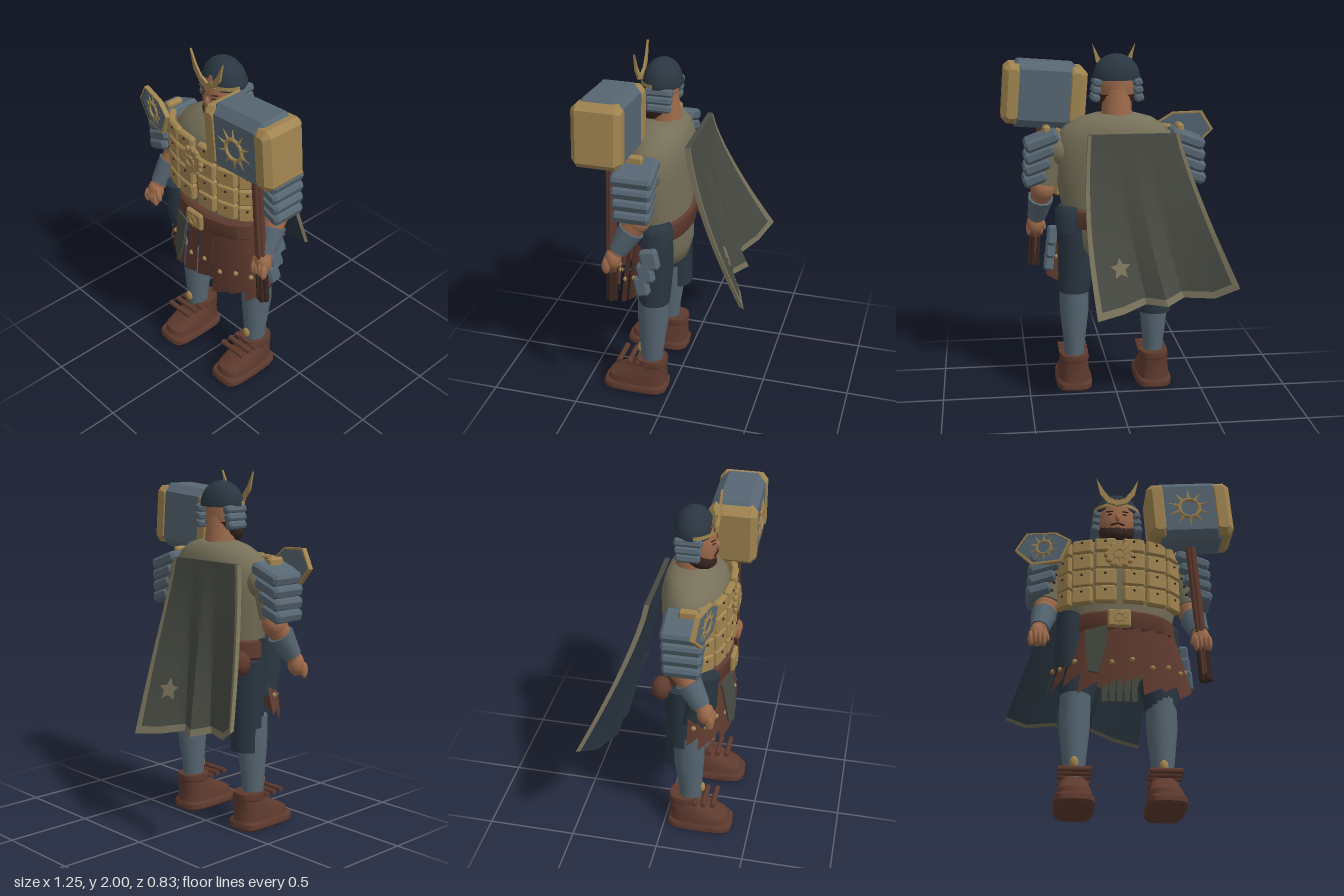
import * as THREE from 'three';
import { toCreasedNormals } from 'three/addons/utils/BufferGeometryUtils.js';

const V = (x, y, z) => new THREE.Vector3(x, y, z);
const paint = (name, color, extra) => Object.assign(new THREE.MeshStandardMaterial({ color, ...extra }), { name });
const two = { side: THREE.DoubleSide };
const steel = paint('steel', 0x566672), gold = paint('gold', 0xa08450), cloth = paint('tunicCloth', 0x77715a, two),
  leather = paint('leather', 0x5e3a2e, two), skin = paint('skin', 0x9c6a4b), navy = paint('navy', 0x2a3641, two),
  capeCloth = paint('capeCloth', 0x474a42, two), dark = paint('darkBrown', 0x38251f);

function add(parent, name, geo, mat, p = [0, 0, 0], r = [0, 0, 0], s = [1, 1, 1]) {
  const m = new THREE.Mesh(geo, mat);
  m.name = name;
  m.position.set(...p); m.rotation.set(...r); m.scale.set(...s);
  parent.add(m);
  return m;
}
function group(parent, name, p = [0, 0, 0], r = [0, 0, 0]) {
  const g = new THREE.Group();
  g.name = name; g.position.set(...p); g.rotation.set(...r);
  parent.add(g);
  return g;
}
// Closed skin over rings [y, cx, cz, rx, rz]; power above 2 makes rings squarer
function loft(rings, n = 20, power = 2) {
  const pos = [], idx = [], f = c => Math.sign(c) * Math.abs(c) ** (2 / power);
  for (const [y, cx, cz, rx, rz] of rings) for (let j = 0; j < n; j++) {
    const a = j / n * Math.PI * 2;
    pos.push(cx + rx * f(Math.sin(a)), y, cz + rz * f(Math.cos(a)));
  }
  const last = rings.length - 1, c0 = rings.length * n;
  for (const k of [0, last]) pos.push(rings[k][1], rings[k][0], rings[k][2]);
  for (let j = 0; j < n; j++) {
    const k = (j + 1) % n;
    for (let i = 0; i < last; i++) {
      const a = i * n + j, b = i * n + k;
      idx.push(a, b, b + n, a, b + n, a + n);
    }
    idx.push(c0, k, j, c0 + 1, last * n + j, last * n + k);
  }
  return creased(pos, idx);
}
function creased(pos, idx, angle = 0.7) {
  const g = new THREE.BufferGeometry();
  g.setAttribute('position', new THREE.Float32BufferAttribute(pos, 3));
  g.setIndex(idx);
  return toCreasedNormals(g, angle);
}
// Open sheet from a rule f(u, v)
function sheet(f, nu, nv, u0 = 0, u1 = 1, v0 = 0, v1 = 1) {
  const pos = [], idx = [];
  for (let i = 0; i <= nv; i++) for (let j = 0; j <= nu; j++)
    pos.push(...f(u0 + (u1 - u0) * j / nu, v0 + (v1 - v0) * i / nv).toArray());
  for (let i = 0; i < nv; i++) for (let j = 0; j < nu; j++) {
    const a = i * (nu + 1) + j, b = a + nu + 1;
    idx.push(a, a + 1, b + 1, a, b + 1, b);
  }
  return creased(pos, idx, 0.4);
}
const poly = pts => new THREE.Shape(pts.map(p => new THREE.Vector2(...p)));
const flat = (shape, depth) => new THREE.ExtrudeGeometry(shape, { depth, bevelEnabled: false });
function block(w, h, d, b = 0.01) {
  const x = w / 2, y = h / 2;
  return new THREE.ExtrudeGeometry(poly([[-x + b, -y], [x - b, -y], [x, -y + b], [x, y - b], [x - b, y], [-x + b, y], [-x, y - b], [-x, -y + b]]),
    { depth: d - 2 * b, bevelThickness: b, bevelSize: b, bevelOffset: -b, bevelSegments: 1 }).translate(0, 0, b - d / 2);
}
function limb(parent, name, a, b, ra, rb, mat, n = 14) {
  const m = add(parent, name, new THREE.CylinderGeometry(rb, ra, a.distanceTo(b), n), mat);
  m.position.copy(a).lerp(b, 0.5);
  m.quaternion.setFromUnitVectors(V(0, 1, 0), b.clone().sub(a).normalize());
}
const ball = (parent, name, mat, p, s, r) => add(parent, name, new THREE.SphereGeometry(1, 16, 12), mat, p, r, s);
// Ring with pointed rays, lying in the xy plane
function sun(parent, p, r, rays = 10) {
  const g = group(parent, 'sunEmblem', p);
  add(g, 'sunRing', new THREE.TorusGeometry(r * 0.48, r * 0.09, 6, 20), gold);
  for (let i = 0; i < rays; i++) {
    const a = i / rays * Math.PI * 2;
    add(g, 'sunRay', new THREE.ConeGeometry(r * 0.1, r * 0.6, 4), gold, [-Math.sin(a) * r * 0.75, Math.cos(a) * r * 0.75, 0], [0, 0, a]);
  }
}

export function createModel() {
  const root = new THREE.Group();
  root.name = 'armouredWarrior';

  // Torso, hips and belt
  add(root, 'torso', loft([[1.03, 0, 0.12, 0.28, 0.165], [1.2, 0, 0.125, 0.32, 0.175], [1.35, 0, 0.13, 0.345, 0.18],
    [1.48, 0, 0.125, 0.335, 0.18], [1.55, 0, 0.115, 0.285, 0.155], [1.6, 0, 0.1, 0.21, 0.12], [1.625, 0, 0.1, 0.12, 0.08]], 28), cloth);
  add(root, 'hips', loft([[0.74, 0, 0.1, 0.08, 0.07], [0.79, 0, 0.1, 0.18, 0.13], [0.88, 0, 0.1, 0.25, 0.155], [1.04, 0, 0.11, 0.285, 0.16]], 24), cloth);
  add(root, 'belt', loft([[0.985, 0, 0.135, 0.3, 0.19], [1.0, 0, 0.135, 0.315, 0.2], [1.085, 0, 0.135, 0.31, 0.2], [1.1, 0, 0.135, 0.295, 0.185]], 28), leather);
  add(root, 'buckle', block(0.125, 0.105, 0.03), gold, [-0.01, 1.04, 0.34]);
  sun(root, [-0.01, 1.04, 0.358], 0.048, 8);
  ball(root, 'beltPouch', leather, [-0.285, 0.98, -0.01], [0.06, 0.07, 0.055]);
  add(root, 'rightHipWrap', loft([[0.78, -0.27, 0.18, 0.08, 0.09], [0.9, -0.275, 0.2, 0.075, 0.095], [1.1, -0.275, 0.21, 0.068, 0.095]], 16), navy);
  add(root, 'leftHipWrap', loft([[0.96, 0.25, 0.085, 0.09, 0.095], [1.08, 0.25, 0.085, 0.092, 0.098], [1.11, 0.25, 0.085, 0.07, 0.08]], 16), navy);

  // Chest plates, three columns each side and a clasp under each shoulder
  const columns = [[0.078, 0.315, 0.08, 0.12], [0.203, 0.288, 0.3, 0.116], [0.298, 0.232, 0.8, 0.1]];
  for (const s of [-1, 1]) {
    columns.forEach(([x, z, yaw, w], c) => {
      const col = group(root, 'chestPlateColumn', [s * x - 0.006, 0, z], [0, s * yaw, 0]);
      for (let i = 0; i < 4; i++) {
        const h = i ? 0.102 : 0.085, y = (i ? 1.508 - i * 0.1035 : 1.503) - c * 0.003;
        add(col, 'chestPlate', block(w, h, 0.04, 0.01), gold, [0, y, 0]);
        add(col, 'plateRivet', new THREE.SphereGeometry(0.008, 6, 4), dark, [0, y + 0.02, 0.019]);
      }
    });
    add(root, 'shoulderClasp', block(0.04, 0.07, 0.1, 0.01), gold, [s * 0.378, 1.52, 0.155]);
  }
  add(root, 'medallion', new THREE.CylinderGeometry(0.066, 0.074, 0.025, 20), gold, [-0.01, 1.43, 0.345], [Math.PI / 2, 0, 0]);
  for (let i = 0; i < 12; i++) {
    const a = i * Math.PI / 6;
    ball(root, 'medallionPetal', gold, [-0.01 + 0.068 * Math.cos(a), 1.43 + 0.068 * Math.sin(a), 0.346], [0.016, 0.017, 0.012], [0, 0, a]);
  }
  sun(root, [-0.01, 1.43, 0.362], 0.058, 8);

  // Leather skirt strips with ragged hems, front half only; the right hip is left open above
  const hem = [0.68, 0.64, 0.66, 0.61, 0.63, 0.66, 0.6, 0.63, 0.61, 0.66], tops = [0.86, 0.88];
  hem.forEach((low, i) => {
    const strip = (u, v) => {
      const a = (-86 + (i + u * 1.12) * 17.2) * Math.PI / 180, out = 0.022 * u;
      const top = tops[i] ?? 1.01, y = THREE.MathUtils.lerp(top, low + 0.06 * u, v), k = (1.01 - y) / 0.38;
      return V((0.295 + 0.105 * k + out) * Math.sin(a), y, 0.135 + (0.175 + 0.035 * k + out) * Math.cos(a));
    };
    add(root, 'skirtStrip', sheet(strip, 3, 4), leather);
    ball(root, 'skirtStud', gold, strip(0.5, i < 2 ? 0.5 : 0.65).toArray(), [0.014, 0.014, 0.014]);
  });
  add(root, 'frontCloth', flat(poly([[-0.2, 1.0], [-0.075, 1.01], [-0.085, 0.88], [-0.13, 0.72], [-0.185, 0.74]]), 0.012), capeCloth, [0, 0, 0.515], [-0.15, -0.35, 0]);
  for (let i = 0; i < 3; i++) add(root, 'hipPlate', block(0.055, 0.115, 0.1 - i * 0.012, 0.012), steel, [0.36 + i * 0.008, 0.935 - i * 0.08, 0.085 + i * 0.02], [0.24, 0, 0.1]);
  for (let i = -2; i <= 2; i++) add(root, 'innerTab', block(0.035, 0.16, 0.015, 0.004), capeCloth, [i * 0.04, 0.69, 0.2]);

  for (const s of [-1, 1]) {
    // Legs and boots; the right shin stands slightly forward
    const leg = group(root, s > 0 ? 'leftLeg' : 'rightLeg', [s * 0.235, 0, 0]);
    const fwd = s < 0 ? 0.032 : 0, lift = s > 0 ? 1.06 : 0.98;
    add(leg, 'shin', loft([[0.16, 0, 0.115 + fwd, 0.055, 0.06], [0.28, 0, 0.115 + fwd, 0.062, 0.068], [0.48, 0, 0.105 + fwd, 0.083, 0.088], [0.66, 0, 0.105 + fwd, 0.085, 0.088]], 18), steel);
    add(leg, 'thigh', loft([[0.6, 0, 0.1, 0.088, 0.09], [0.8, -s * 0.02, 0.1, 0.112, 0.105], [lift, 0, 0.1, 0.098, 0.11]], 18), navy);
    if (s < 0) add(leg, 'thighBackFlap', new THREE.CylinderGeometry(0.096, 0.093, 0.17, 16, 1, true, Math.PI * 0.6, Math.PI * 0.8), navy, [0, 0.55, 0.1]);
    ball(leg, 'shinStud', gold, [0, 0.265, 0.183 + fwd], [0.023, 0.033, 0.018]);
    add(leg, 'sole', loft([[0, 0, 0.21, 0.092, 0.175], [0.014, 0, 0.21, 0.106, 0.19], [0.042, 0, 0.21, 0.106, 0.19], [0.055, 0, 0.21, 0.096, 0.18]], 16, 4), leather);
    add(leg, 'boot', loft([[0.05, 0, 0.205, 0.095, 0.178], [0.09, 0, 0.2, 0.092, 0.17], [0.125, 0, 0.165, 0.086, 0.132], [0.16, 0, 0.13, 0.08, 0.1], [0.2, 0, 0.115, 0.072, 0.085]], 16, 3), leather);
    add(leg, 'bootCuff', loft([[0.17, 0, 0.115, 0.078, 0.085], [0.185, 0, 0.115, 0.085, 0.092], [0.215, 0, 0.115, 0.08, 0.088]], 12, 2.5), leather);
    for (const [y, z] of [[0.18, 0.13], [0.195, 0.185], [0.2, 0.235], [0.203, 0.292]]) add(leg, 'bootStrap', new THREE.CylinderGeometry(0.016, 0.016, 0.17, 8), leather, [0, y, z], [0, 0, Math.PI / 2]);

    // Arms
    const arm = group(root, s > 0 ? 'leftArm' : 'rightArm');
    const elbow = V(s * 0.405, 1.2, 0.13), wrist = V(s * 0.44, 1.0, 0.245);
    ball(arm, 'shoulder', cloth, [s * 0.31, 1.42, 0.12], [0.085, 0.1, 0.09]);
    limb(arm, 'sleeve', V(s * 0.355, 1.43, 0.125), V(s * 0.395, 1.23, 0.13), 0.085, 0.076, cloth);
    for (let i = 0; i < 3; i++) ball(arm, 'sleeveStud', dark, [s * (0.352 + i * 0.012), 1.37 - i * 0.05, 0.205], [0.008, 0.008, 0.008]);
    ball(arm, 'elbow', skin, elbow.toArray(), [0.07, 0.075, 0.07]);
    limb(arm, 'forearm', elbow, wrist, 0.067, 0.043, skin);
    limb(arm, 'bracer', elbow.clone().lerp(wrist, 0.3), elbow.clone().lerp(wrist, 0.92), 0.074, 0.054, steel, 10);
    ball(arm, 'palm', skin, [s * 0.445, 0.965, 0.262], [0.048, 0.065, 0.045]);
    for (let i = 0; i < 4; i++) ball(arm, 'finger', skin, [s * (0.41 + i * 0.024), 0.93 + 0.006 * (i % 3), 0.292], [0.015, 0.045, 0.024]);
    ball(arm, 'thumb', skin, [s * 0.4, 0.96, 0.28], [0.016, 0.042, 0.018], [0, 0, -s * 0.3]);
    for (let i = 0; i < 4; i++) add(arm, 'shoulderSlat', block(0.2 - i * 0.02, 0.066, 0.225 - i * 0.008, 0.016), steel, [s * (0.41 + i * 0.013), 1.475 - i * 0.07, 0.14], [0, 0, -s * 0.36]);
  }

  // Six-sided shoulder shield
  const shield = group(root, 'shoulderShield', [-0.425, 1.515, 0.25], [0, -0.22, 0]);
  const hex = [[-0.165, -0.01], [-0.1, 0.095], [0.07, 0.085], [0.155, 0.03], [0.1, -0.1], [-0.065, -0.11]];
  const inner = hex.map(([x, y]) => [x * 0.91, y * 0.89]);
  const frame = poly(hex);
  frame.holes.push(poly(inner));
  add(shield, 'shieldRim', flat(frame, 0.026), gold, [0, 0, -0.013]);
  add(shield, 'shieldFace', flat(poly(inner), 0.018), steel, [0, 0, -0.009]);
  sun(shield, [0, -0.005, 0.012], 0.085);

  // Head and helmet
  const head = group(root, 'head', [-0.012, 0, 0]);
  limb(head, 'neck', V(0, 1.58, 0.095), V(0, 1.76, 0.105), 0.088, 0.08, skin);
  add(head, 'face', loft([[1.63, 0, 0.15, 0.05, 0.06], [1.66, 0, 0.14, 0.085, 0.088], [1.74, 0, 0.13, 0.104, 0.102], [1.82, 0, 0.125, 0.106, 0.1], [1.88, 0, 0.12, 0.09, 0.085]], 20), skin);
  add(head, 'beard', loft([[1.615, 0, 0.16, 0.05, 0.055], [1.635, 0, 0.155, 0.08, 0.078], [1.665, 0, 0.143, 0.099, 0.09], [1.73, 0, 0.118, 0.107, 0.088]], 16), dark);
  ball(head, 'nose', skin, [0, 1.74, 0.23], [0.015, 0.028, 0.02]);
  add(head, 'lips', block(0.035, 0.01, 0.012, 0.003), skin, [0, 1.677, 0.234]);
  for (const s of [-1, 1]) {
    add(head, 'moustache', block(0.042, 0.009, 0.012, 0.003), dark, [s * 0.021, 1.698, 0.231], [0, s * 0.2, -s * 0.25]);
    add(head, 'eyebrow', block(0.04, 0.006, 0.01, 0.002), dark, [s * 0.045, 1.787, 0.219], [0, s * 0.4, s * 0.12]);
    add(head, 'eye', block(0.026, 0.007, 0.008, 0.002), dark, [s * 0.042, 1.767, 0.222], [0, s * 0.4, 0]);
    for (let i = 0; i < 3; i++) add(head, 'cheekGuard', block(0.05, 0.042, 0.15 - i * 0.01, 0.01), steel, [s * (0.112 + i * 0.005), 1.8 - i * 0.043, 0.1], [0, 0, s * 0.3]);
    add(head, 'horn', flat(poly([[s * 0.02, 1.835], [s * 0.06, 1.845], [s * 0.1, 1.895], [s * 0.122, 2.0], [s * 0.08, 1.92], [s * 0.04, 1.868]]), 0.012), gold, [0, 0, 0.224]);
  }
  add(head, 'helmet', new THREE.SphereGeometry(1, 18, 7, 0, Math.PI * 2, 0, Math.PI / 2), navy, [0, 1.82, 0.11], [0, 0, 0], [0.134, 0.133, 0.106]);
  add(head, 'helmetBand', loft([[1.812, 0, 0.11, 0.135, 0.108], [1.835, 0, 0.11, 0.135, 0.108]], 18), navy);
  add(head, 'browBand', new THREE.CylinderGeometry(0.115, 0.115, 0.022, 12, 1, true, -1.4, 2.8), gold, [0, 1.834, 0.11], [0, 0, 0], [1.19, 1, 1]);
  add(head, 'crest', flat(poly([[-0.06, 1.84], [0, 1.82], [0.06, 1.84], [0.035, 1.87], [0, 1.848], [-0.035, 1.87]]), 0.015), gold, [0, 0, 0.222]);

  // War hammer
  const hammer = group(root, 'hammer', [0.384, 1.716, 0.28], [0, 0, 0.075]);
  add(hammer, 'hammerHead', block(0.4, 0.372, 0.25, 0.045), steel);
  for (const s of [-1, 1]) add(hammer, 'hammerCap', block(0.115, 0.335, 0.262, 0.03), gold, [s * 0.178, 0, 0]);
  sun(hammer, [-0.005, -0.005, 0.127], 0.118, 10);
  for (let i = 0; i < 5; i++) {
    const a = i * Math.PI * 0.4, x = 0.016 * Math.cos(a), z = 0.016 * Math.sin(a) - 0.01;
    limb(hammer, 'handleRod', V(x, -0.97, z), V(x, -0.17, z), 0.015, 0.014, leather, 7);
    limb(hammer, 'gripStrand', V(x * 1.5, -1.0, z * 1.2), V(x * 1.4, -0.83, z), 0.015, 0.015, dark, 7);
  }

  // Cape swept back to one side, with a pale hem and a patch
  const ends = [[0.15, 0.57, -0.4], [0, 0.59, -0.345], [-0.13, 0.62, -0.275], [-0.24, 0.62, -0.34], [-0.34, 0.65, -0.275], [-0.5, 0.66, -0.345], [-0.62, 0.73, -0.41]].map(p => V(...p));
  const fold = (u, v, off = 0) => {
    const k = Math.min(5, Math.floor(u * 6)), end = ends[k].clone().lerp(ends[k + 1], u * 6 - k);
    return V(THREE.MathUtils.lerp(0.165 - 0.5 * u, end.x, v ** 1.15) + 0.03 * Math.sin(Math.PI * v) * (1 - u),
      THREE.MathUtils.lerp(1.53, end.y, v) + off * 0.4 * v, THREE.MathUtils.lerp(-0.085, end.z, v ** 1.28) + off);
  };
  const t = 0.028, side = 0.035;
  add(root, 'capeBack', sheet(fold, 24, 10, side, 1 - side, 0, 0.96), capeCloth);
  add(root, 'capeHem', sheet(fold, 30, 1, 0, 1, 0.96, 1), cloth);
  add(root, 'capeLining', sheet((u, v) => fold(u, v, t), 24, 10), navy);
  add(root, 'capeHemEdge', sheet((u, v) => fold(u, 1, t * v), 24, 1), cloth);
  add(root, 'capeTopEdge', sheet((u, v) => fold(u, 0, t * v), 12, 1), capeCloth);
  for (const e of [0, 1]) {
    add(root, 'capeSideTrim', sheet(fold, 1, 10, e * (1 - side), side + e * (1 - side), 0, 0.96), cloth);
    add(root, 'capeSideEdge', sheet((u, v) => fold(e, v, t * u), 1, 10), cloth);
  }
  const star = [];
  for (let i = 0; i < 10; i++) {
    const a = i * Math.PI / 5, r = i % 2 ? 0.03 : 0.062;
    star.push([r * Math.sin(a), r * Math.cos(a)]);
  }
  const c = fold(0.2, 0.76), du = fold(0.3, 0.76).sub(fold(0.17, 0.76)), dv = fold(0.2, 0.81).sub(fold(0.2, 0.71));
  const normal = du.cross(dv).normalize();
  if (normal.z > 0) normal.negate();
  const patch = add(root, 'starPatch', flat(poly(star), 0.009), cloth, c.clone().addScaledVector(normal, 0.003).toArray());
  patch.lookAt(patch.position.clone().add(normal));
  return root;
}
